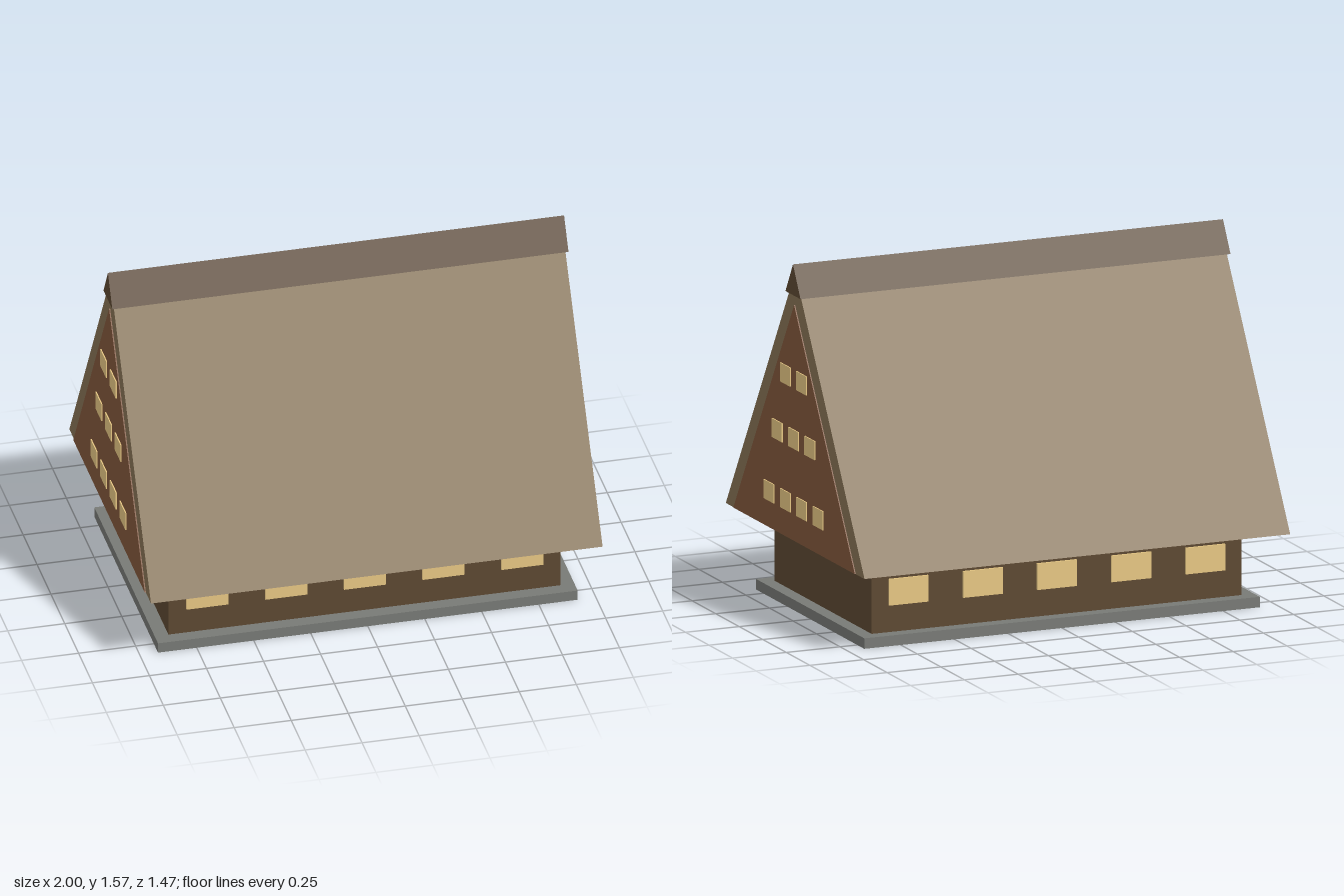
import * as THREE from 'three';

const mat = (name, color) => {
  const m = new THREE.MeshStandardMaterial({ color });
  m.name = name;
  return m;
};

export function createModel() {
  const house = new THREE.Group();
  house.name = 'house';
  const thatch = mat('thatch', 0x877355);
  const darkWood = mat('darkWood', 0x5d4932);
  const gableWood = mat('gableWood', 0x82583c);
  const glow = mat('windowGlow', 0xe8c884);
  const stone = mat('stone', 0x787a76);

  const add = (name, geometry, material, x = 0, y = 0, z = 0) => {
    const mesh = new THREE.Mesh(geometry, material);
    mesh.name = name;
    mesh.position.set(x, y, z);
    house.add(mesh);
  };
  const box = (name, material, w, h, d, x, y, z) =>
    add(name, new THREE.BoxGeometry(w, h, d), material, x, y, z);

  // Triangular prism running along x, centred on x
  const prism = (name, material, halfWidth, bottom, top, length, x = 0) => {
    const shape = new THREE.Shape();
    shape.moveTo(-halfWidth, bottom);
    shape.lineTo(halfWidth, bottom);
    shape.lineTo(0, top);
    shape.closePath();
    const geometry = new THREE.ExtrudeGeometry(shape, { depth: length, bevelEnabled: false });
    geometry.translate(0, 0, -length / 2).rotateY(Math.PI / 2);
    add(name, geometry, material, x);
  };

  // Foundation and ground floor
  box('foundation', stone, 1.84, 0.046, 1.15, 0, 0.023, 0);
  box('groundFloor', darkWood, 1.72, 0.305, 1.03, 0, 0.1975, 0);

  // Steep roof and ridge cap
  prism('roof', thatch, 0.737, 0.35, 1.53, 1.98);
  prism('ridgeCap', darkWood, 0.08, 1.43, 1.565, 2);

  for (const side of [-1, 1]) {
    // Long wall windows
    for (let i = -2; i <= 2; i++) {
      box('wallWindow', glow, 0.184, 0.116, 0.009, i * 0.345, 0.222, side * 0.5195);
    }
    // Gable panel with rows of four, three and two windows
    prism('gablePanel', gableWood, 0.645, 0.351, 1.386, 0.007, side * 0.9915);
    [[4, 0.51], [3, 0.798], [2, 1.062]].forEach(([count, y]) => {
      for (let i = 0; i < count; i++) {
        const z = (i - (count - 1) / 2) * 0.173;
        box('gableWindow', glow, 0.006, 0.083, 0.107, side * 0.997, y, z);
      }
    });
  }
  return house;
}
